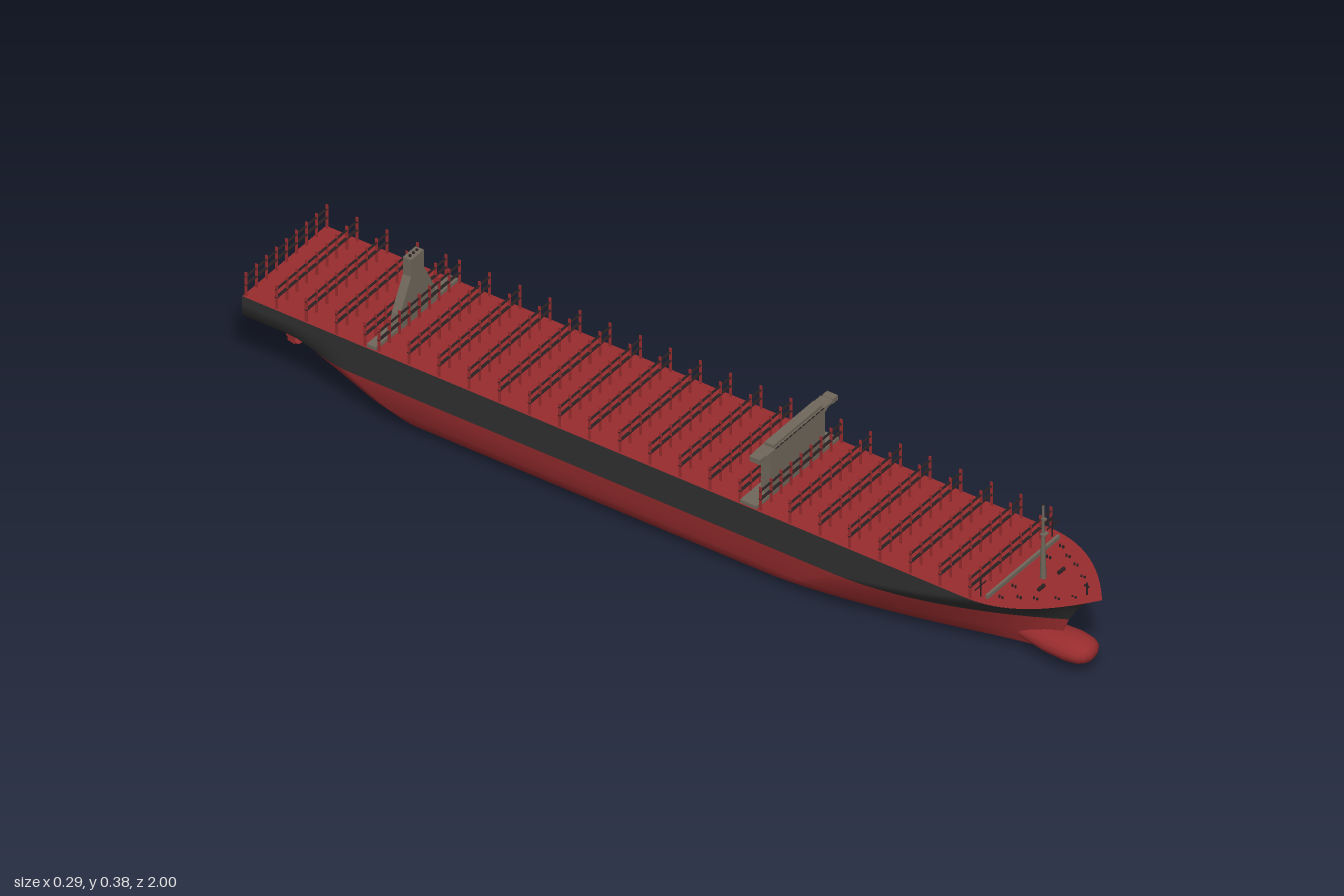
import * as THREE from 'three';
import { mergeGeometries } from 'three/addons/utils/BufferGeometryUtils.js';

const paint = (name, color, side = THREE.FrontSide) => {
  const m = new THREE.MeshStandardMaterial({ color, side });
  m.name = name;
  return m;
};

export function createModel() {
  const ship = new THREE.Group();
  ship.name = 'containerShip';
  const red = paint('hull red', 0x982c2e);
  const black = paint('topside black', 0x303030);
  const stone = paint('superstructure stone', 0x70675a);
  const dark = paint('rail charcoal', 0x2a2022);

  const add = (name, geo, mat) => {
    const m = new THREE.Mesh(geo, mat);
    m.name = name;
    ship.add(m);
    return m;
  };
  const box = (w, h, d, x, y, z) => new THREE.BoxGeometry(w, h, d).translate(x, y, z);
  const cyl = (r0, r1, h, x, y, z, n = 8) => new THREE.CylinderGeometry(r0, r1, h, n).translate(x, y + h / 2, z);

  // Skin stretched over rows of points
  const skin = (name, rows, mat) => {
    const n = rows[0].length, index = [];
    for (let i = 0; i < rows.length - 1; i++) {
      for (let k = 0; k < n - 1; k++) {
        const a = i * n + k, b = a + n;
        index.push(a, b, a + 1, b, b + 1, a + 1);
      }
    }
    const g = new THREE.BufferGeometry().setFromPoints(rows.flat());
    g.setIndex(index);
    g.computeVertexNormals();
    return add(name, g, mat);
  };

  // Hull lines from keel to deck: width, height | stern z, width, height, start of run | bow z, height, start of entry, fullness
  const lines = [
    [0, 0.018, -0.9, 0, 0.03, -0.6, 0.87, 0.026, 0.2, 1],
    [0.085, 0.018, -0.9, 0.004, 0.03, -0.58, 0.88, 0.027, 0.25, 1.4],
    [0.117, 0.025, -0.9, 0.008, 0.055, -0.6, 0.885, 0.035, 0.28, 1.4],
    [0.138, 0.06, -0.93, 0.02, 0.1, -0.65, 0.9, 0.07, 0.35, 1.5],
    [0.144, 0.116, -1, 0.06, 0.118, -0.75, 0.918, 0.117, 0.45, 1.8],
    [0.145, 0.148, -1, 0.145, 0.148, -0.75, 0.938, 0.15, 0.6, 2],
    [0.146, 0.175, -1, 0.146, 0.175, -0.75, 0.964, 0.179, 0.7, 2.1],
    [0.146, 0.195, -1, 0.146, 0.195, -0.75, 0.999, 0.2, 0.76, 2.2],
  ];
  const N = 14, lerp = THREE.MathUtils.lerp;
  const station = (j, i) => {
    const [w, y, zs, ws, ys, z0, zb, yb, z1, p] = lines[j];
    if (i <= N) {
      const u = i / N, f = 1 - (1 - u) ** 1.5;
      return new THREE.Vector3(lerp(ws, w, f), lerp(ys, y, f), lerp(zs, z0, u));
    }
    const u = (i - N - 1) / N;
    return new THREE.Vector3(w * (1 - u ** p), lerp(y, yb, u * u), lerp(z1, zb, u));
  };
  const port = (j, i) => station(j, i);
  const starboard = (j, i) => {
    const p = station(j, i);
    p.x *= -1;
    return p;
  };
  const stations = [...Array(2 * N + 2).keys()];
  const bottom = [0, 1, 2, 3, 4], topside = [4, 5, 6, 7];
  skin('lowerHull', stations.map(i => [
    ...[4, 3, 2, 1, 0].map(j => port(j, i)), ...[1, 2, 3, 4].map(j => starboard(j, i))]), red);
  skin('portTopside', stations.map(i => [7, 6, 5, 4].map(j => port(j, i))), black);
  skin('starboardTopside', stations.map(i => topside.map(j => starboard(j, i))), black);
  skin('sternCounter', bottom.map(j => [starboard(j, 0), port(j, 0)]), red);
  skin('transom', topside.map(j => [starboard(j, 0), port(j, 0)]), black);
  const deck = skin('deck', stations.map(i => [starboard(7, i), port(7, i)]), red);
  deck.position.y = -0.001;

  // Bulbous bow
  const bulbProfile = [[0, 0.98], [0.014, 0.979], [0.028, 0.972], [0.037, 0.958], [0.042, 0.93], [0.04, 0.88], [0.03, 0.82], [0, 0.72]];
  const bulb = new THREE.LatheGeometry(bulbProfile.map(([r, z]) => new THREE.Vector2(r, z)).reverse(), 16);
  bulb.rotateX(Math.PI / 2).scale(1, 0.68, 1).translate(0, 0.057, 0);
  add('bulbousBow', bulb, red);

  // Propeller, shaft and rudder
  const screw = [new THREE.CylinderGeometry(0.005, 0.008, 0.07, 10).rotateX(-Math.PI / 2).translate(0, 0.046, -0.92)];
  for (let k = 0; k < 4; k++) {
    const blade = new THREE.SphereGeometry(1, 8, 6).scale(0.011, 0.016, 0.002);
    blade.rotateY(0.6).translate(0, 0.018, 0).rotateZ(k * Math.PI / 2 + 0.6).translate(0, 0.046, -0.95);
    screw.push(blade);
  }
  add('propeller', mergeGeometries(screw), red);
  const rudder = add('rudder', mergeGeometries([box(0.008, 0.1, 0.026, 0, 0.06, 0), box(0.007, 0.02, 0.02, 0, 0.01, 0)]), red);
  rudder.position.set(0.004, 0, -0.983);
  rudder.rotation.y = -0.2;

  // Lashing bridges: red uprights joined by thin walkways
  const rowZ = [0.775, 0.702, 0.63, 0.555, 0.48, 0.408, 0.335, 0.263, 0.213];
  for (let k = 0; k < 12; k++) rowZ.push(0.14 - k * 0.0736);
  rowZ.push(-0.703, -0.773, -0.847, -0.92, -0.994);
  const posts = [], walks = [];
  for (const z of rowZ) {
    for (const x of [0, 0.035, 0.069, 0.104, 0.14]) {
      for (const s of x ? [1, -1] : [1]) posts.push(box(0.002, 0.058, 0.006, s * x, 0.223, z));
    }
    walks.push(box(0.284, 0.0015, 0.007, 0, 0.222, z), box(0.284, 0.0015, 0.005, 0, 0.242, z));
  }
  add('lashingPosts', mergeGeometries(posts), red);
  add('lashingWalkways', mergeGeometries(walks), dark);

  // Bridge house with open wings
  const house = [
    box(0.286, 0.008, 0.04, 0, 0.199, 0.235),
    box(0.19, 0.112, 0.016, 0, 0.256, 0.247),
    box(0.23, 0.006, 0.03, 0, 0.309, 0.245),
    box(0.17, 0.007, 0.022, 0, 0.3155, 0.245),
  ];
  for (const y of [0.225, 0.245, 0.265, 0.285]) house.push(box(0.18, 0.002, 0.012, 0, y, 0.234));
  for (const s of [1, -1]) {
    house.push(box(0.042, 0.009, 0.02, s * 0.114, 0.3075, 0.245));
    house.push(box(0.018, 0.012, 0.026, s * 0.126, 0.307, 0.245));
    house.push(new THREE.BoxGeometry(0.034, 0.003, 0.008).rotateZ(s * 0.5).translate(s * 0.109, 0.294, 0.247));
  }
  for (let k = -4; k <= 4; k++) house.push(box(0.002, 0.1, 0.01, k * 0.022, 0.253, 0.233));
  add('bridgeHouse', mergeGeometries(house), stone);
  const panes = [];
  for (let k = -5; k <= 5; k++) panes.push(box(0.012, 0.0015, 0.002, k * 0.0155, 0.312, 0.26));
  add('bridgeWindowSills', mergeGeometries(panes), dark);

  // Funnel with flared casing
  const f = new THREE.Shape([[-0.07, 0.195], [0.07, 0.195], [0.06, 0.235], [0.022, 0.305], [0.022, 0.347],
    [-0.022, 0.347], [-0.022, 0.305], [-0.06, 0.235]].map(p => new THREE.Vector2(...p)));
  const funnel = new THREE.ExtrudeGeometry(f, { depth: 0.02, bevelEnabled: false }).translate(0, 0, -0.694);
  add('funnel', funnel, stone);
  add('funnelBase', box(0.286, 0.008, 0.022, 0, 0.199, -0.686), stone);
  add('exhaustPipes', mergeGeometries([-0.012, 0, 0.012].map(x => cyl(0.003, 0.003, 0.004, x, 0.346, -0.684))), dark);

  // Breakwater and foremast
  add('breakwater', box(0.25, 0.009, 0.006, 0, 0.2, 0.805), stone);
  add('foremast', mergeGeometries([
    cyl(0.004, 0.007, 0.11, 0, 0.194, 0.855), cyl(0.0025, 0.0035, 0.07, 0, 0.304, 0.855),
    box(0.014, 0.003, 0.012, 0, 0.304, 0.858), box(0.007, 0.004, 0.01, 0, 0.34, 0.857)]), stone);
  add('mastLamps', mergeGeometries([cyl(0.0025, 0.0025, 0.005, 0, 0.37, 0.855), cyl(0.002, 0.002, 0.032, 0, 0.194, 0.962)]), dark);

  // Mooring gear on the forecastle
  const gear = [];
  for (const s of [1, -1]) {
    for (const [x, z] of [[0.105, 0.83], [0.085, 0.86], [0.07, 0.89], [0.045, 0.925], [0.022, 0.95], [0.06, 0.83]]) {
      gear.push(cyl(0.0022, 0.0022, 0.006, s * x, 0.194, z), cyl(0.0022, 0.0022, 0.006, s * x, 0.194, z - 0.008));
    }
    gear.push(new THREE.CylinderGeometry(0.004, 0.004, 0.02, 8).rotateZ(Math.PI / 2).translate(s * 0.035, 0.199, 0.875));
    // Side access frames
    gear.push(box(0.002, 0.048, 0.002, s * 0.124, 0.218, 0.79), box(0.04, 0.002, 0.002, s * 0.105, 0.243, 0.79));
    gear.push(box(0.04, 0.002, 0.002, s * 0.125, 0.222, 0.79));
  }
  add('mooringGear', mergeGeometries(gear), dark);

  return ship;
}
